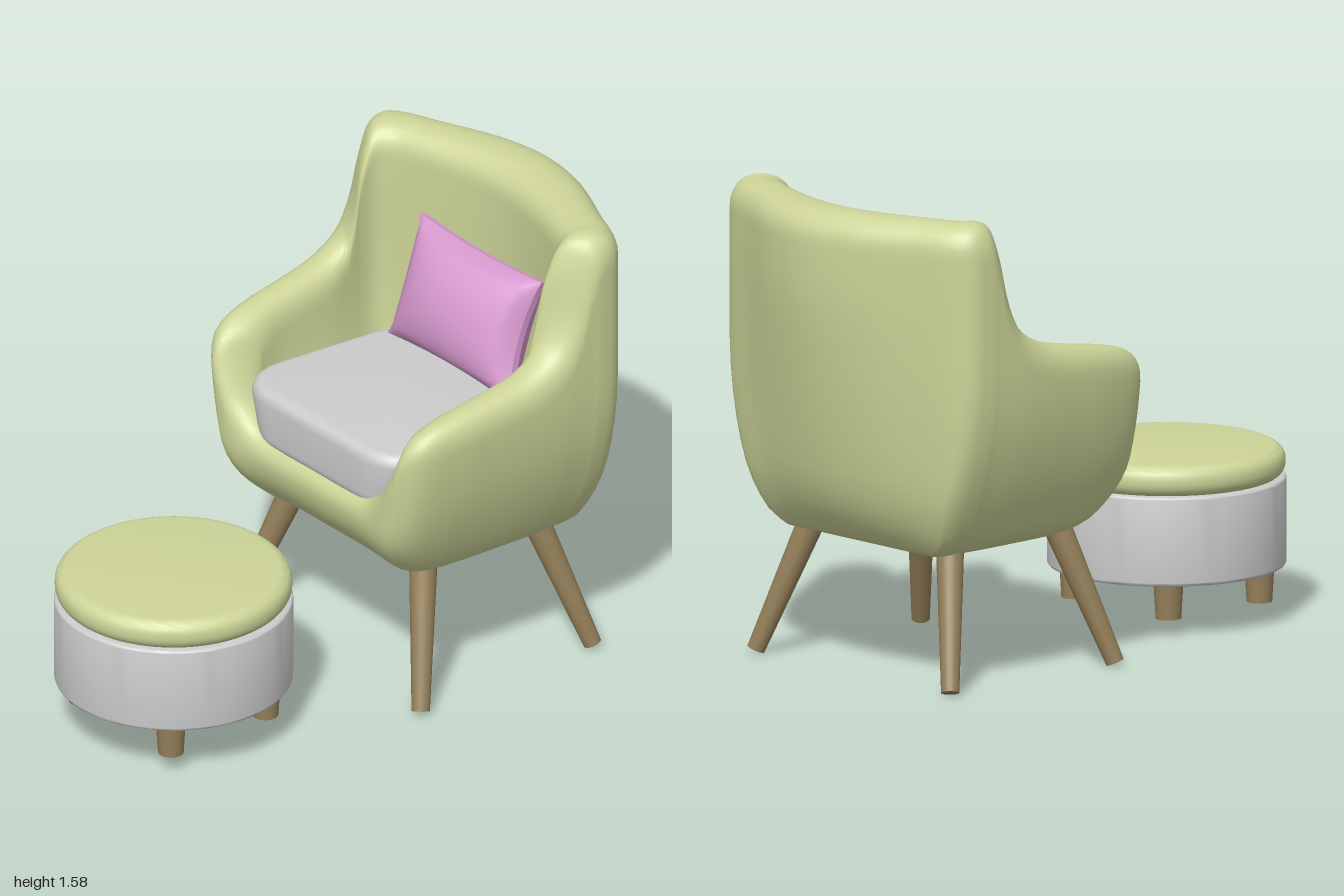
import * as THREE from 'three';
import { toCreasedNormals } from 'three/addons/utils/BufferGeometryUtils.js';

const mat = (color) => new THREE.MeshStandardMaterial({ color });
const GREEN = mat(0xcdd498), GREY = mat(0xcccccc), PURPLE = mat(0xd89bd0), WOOD = mat(0x94805a);
const clamp01 = (v) => Math.min(1, Math.max(0, v));

function add(parent, name, geometry, material) {
  const mesh = new THREE.Mesh(geometry, material);
  mesh.name = name;
  parent.add(mesh);
  return mesh;
}

// Half of the rim, front centre to back centre: outer x, outer z, height, inner x, inner z
const RIM = [
  [0, .045, .72, 0, -.06], [.2, .045, .72, .2, -.06], [.32, .05, .74, .3, -.06],
  [.4, .058, .82, .37, -.07], [.45, .06, .93, .4, -.08], [.49, .05, 1.02, .41, -.1],
  [.54, 0, 1.06, .42, -.14], [.57, -.12, 1.085, .43, -.2], [.585, -.3, 1.11, .435, -.32],
  [.595, -.45, 1.14, .44, -.43], [.6, -.56, 1.2, .45, -.5], [.6, -.62, 1.3, .455, -.53],
  [.6, -.665, 1.45, .46, -.56], [.6, -.71, 1.545, .46, -.6], [.588, -.77, 1.57, .45, -.63],
  [.54, -.82, 1.57, .42, -.66], [.4, -.88, 1.57, .32, -.7], [.2, -.965, 1.57, .17, -.74],
  [0, -1, 1.57, 0, -.76],
];
const BASE = .435, FLOOR = .68;

// Narrowing of the body towards its underside
function sideTaper(y) {
  const u = clamp01((1.08 - y) / (1.08 - BASE));
  return 1 - .3 * u ** 2.2 - .08 * clamp01(1 - (y - BASE) / .06) ** 2;
}
function outerZ(z, y) {
  const w = clamp01(1 - (y - BASE) / .25) ** 2.2;
  if (z > -.3) return z - .17 * w * (z + .3) / .35;
  if (z > -.8) return z + .06 * w * (-z - .3) / .5;
  return -.8 + .06 * w + (z + .8) * clamp01((y - BASE) / .865) ** .55;
}

// Cross-section at one station: underside, outer wall, rolled rim, inner wall, seat floor
function section(o, i) {
  const h = o.y, r = Math.min(.11, (h - .6) * .6), low = h - r;
  const points = [[0, BASE, -.4]];
  const outer = (y) => [o.x * sideTaper(y), y, outerZ(o.z, y)];
  for (let k = 0; k <= 14; k++) points.push(outer(BASE + (low - BASE) * (k / 14) ** 1.6));
  for (let k = 1; k <= 14; k++) {
    const a = Math.PI * k / 14, c = Math.cos(a);
    const t = (1 - Math.sign(c) * Math.abs(c) ** .85) / 2;
    const y = low + r * Math.max(0, Math.sin(a)) ** .85;
    const p = outer(y);
    points.push([p[0] + (i.x * sideTaper(y) - p[0]) * t, y, p[2] + (i.z - p[2]) * t]);
  }
  const floor = Math.min(FLOOR, low);
  for (let k = 1; k <= 6; k++) {
    const y = low + (floor - low) * k / 6;
    points.push([i.x * sideTaper(y), y, i.z]);
  }
  points.push([0, FLOOR, -.35]);
  return points;
}

function shellGeometry() {
  const mirrored = RIM.slice(1, -1).reverse().map(([x, z, h, xi, zi]) => [-x, z, h, -xi, zi]);
  const all = [...RIM, ...mirrored];
  const outer = new THREE.CatmullRomCurve3(all.map((s) => new THREE.Vector3(s[0], s[2], s[1])), true);
  const inner = new THREE.CatmullRomCurve3(all.map((s) => new THREE.Vector3(s[3], 0, s[4])), true);
  const cols = all.length * 4, positions = [], index = [];
  let rows = 0;
  for (let j = 0; j < cols; j++) {
    const points = section(outer.getPoint(j / cols), inner.getPoint(j / cols));
    rows = points.length;
    positions.push(...points.flat());
  }
  for (let j = 0; j < cols; j++) {
    const n = (j + 1) % cols;
    for (let i = 0; i < rows - 1; i++) {
      const a = j * rows + i, b = n * rows + i;
      index.push(a, b, b + 1, a, b + 1, a + 1);
    }
  }
  const geo = new THREE.BufferGeometry();
  geo.setAttribute('position', new THREE.Float32BufferAttribute(positions, 3));
  geo.setIndex(index);
  geo.computeVertexNormals();
  return geo;
}

// Seat cushion: rounded trapezoid plan, narrower underneath
function seatGeometry() {
  const s = new THREE.Shape();
  s.moveTo(-.24, .02);
  s.lineTo(.24, .02);
  s.quadraticCurveTo(.36, .02, .37, .13);
  s.lineTo(.33, .52);
  s.quadraticCurveTo(.31, .62, .2, .62);
  s.lineTo(-.2, .62);
  s.quadraticCurveTo(-.31, .62, -.33, .52);
  s.lineTo(-.37, .13);
  s.quadraticCurveTo(-.36, .02, -.24, .02);
  const geo = new THREE.ExtrudeGeometry(s, {
    depth: .12, bevelThickness: .045, bevelSize: .04, bevelSegments: 6, curveSegments: 12,
  });
  geo.rotateX(-Math.PI / 2).translate(0, .74, 0);
  const p = geo.attributes.position;
  for (let i = 0; i < p.count; i++) {
    p.setX(i, p.getX(i) * (1 - .12 * clamp01((.86 - p.getY(i)) / .16)));
  }
  return toCreasedNormals(geo, .7);
}

// Pillow: puffed box with pinched sides and pointed corners
function pillowGeometry() {
  const geo = new THREE.BoxGeometry(2, 2, 2, 24, 20, 1);
  const p = geo.attributes.position;
  for (let i = 0; i < p.count; i++) {
    const u = p.getX(i), v = p.getY(i), eu = 1 - u * u, ev = 1 - v * v;
    const puff = .012 + .11 * Math.sqrt(Math.max(0, eu * ev));
    p.setXYZ(i, .31 * u * (1 - .11 * ev), .21 * v * (1 - .07 * eu), Math.sign(p.getZ(i)) * puff);
  }
  geo.computeVertexNormals();
  return geo;
}

// Tapered round leg between two points
function leg(parent, name, bottom, top, rBottom, rTop) {
  const a = new THREE.Vector3(...bottom), b = new THREE.Vector3(...top);
  const dir = b.clone().sub(a);
  const mesh = add(parent, name, new THREE.CylinderGeometry(rTop, rBottom, dir.length(), 20), WOOD);
  mesh.position.copy(a).addScaledVector(dir, .5);
  mesh.quaternion.setFromUnitVectors(new THREE.Vector3(0, 1, 0), dir.normalize());
}

// Round slab with rounded edges, from y0 to y1
function roundSlab(radius, y0, y1, edge) {
  const pts = [new THREE.Vector2(0, y0)];
  for (const [cy, start] of [[y0 + edge, -Math.PI / 2], [y1 - edge, 0]]) {
    for (let k = 0; k <= 6; k++) {
      const a = start + Math.PI / 2 * k / 6;
      pts.push(new THREE.Vector2(radius - edge + edge * Math.cos(a), cy + edge * Math.sin(a)));
    }
  }
  pts.push(new THREE.Vector2(0, y1));
  return toCreasedNormals(new THREE.LatheGeometry(pts, 64), .6);
}

export function createModel() {
  const model = new THREE.Group();

  const chair = new THREE.Group();
  chair.name = 'armchair';
  model.add(chair);
  add(chair, 'chairShell', shellGeometry(), GREEN);
  add(chair, 'seatCushion', seatGeometry(), GREY);
  const pillow = add(chair, 'pillow', pillowGeometry(), PURPLE);
  pillow.position.set(0, 1.1, -.63);
  pillow.rotation.x = -.33;

  const stool = new THREE.Group();
  stool.name = 'footstool';
  stool.position.z = .61;
  model.add(stool);
  add(stool, 'stoolDrum', roundSlab(.39, .17, .467, .012), GREY);
  add(stool, 'stoolCushion', roundSlab(.387, .463, .565, .045), GREEN);

  for (const side of [1, -1]) {
    const name = side > 0 ? 'Left' : 'Right';
    leg(chair, 'frontLeg' + name, [side * .47, .006, -.045], [side * .315, .5, -.185], .03, .048);
    leg(chair, 'backLeg' + name, [side * .47, .006, -.77], [side * .315, .5, -.63], .03, .048);
    leg(stool, 'stoolFrontLeg' + name, [side * .228, .05, .2], [side * .228, .18, .2], .042, .05);
    leg(stool, 'stoolBackLeg' + name, [side * .228, .05, -.2], [side * .228, .18, -.2], .042, .05);
  }
  return model;
}
